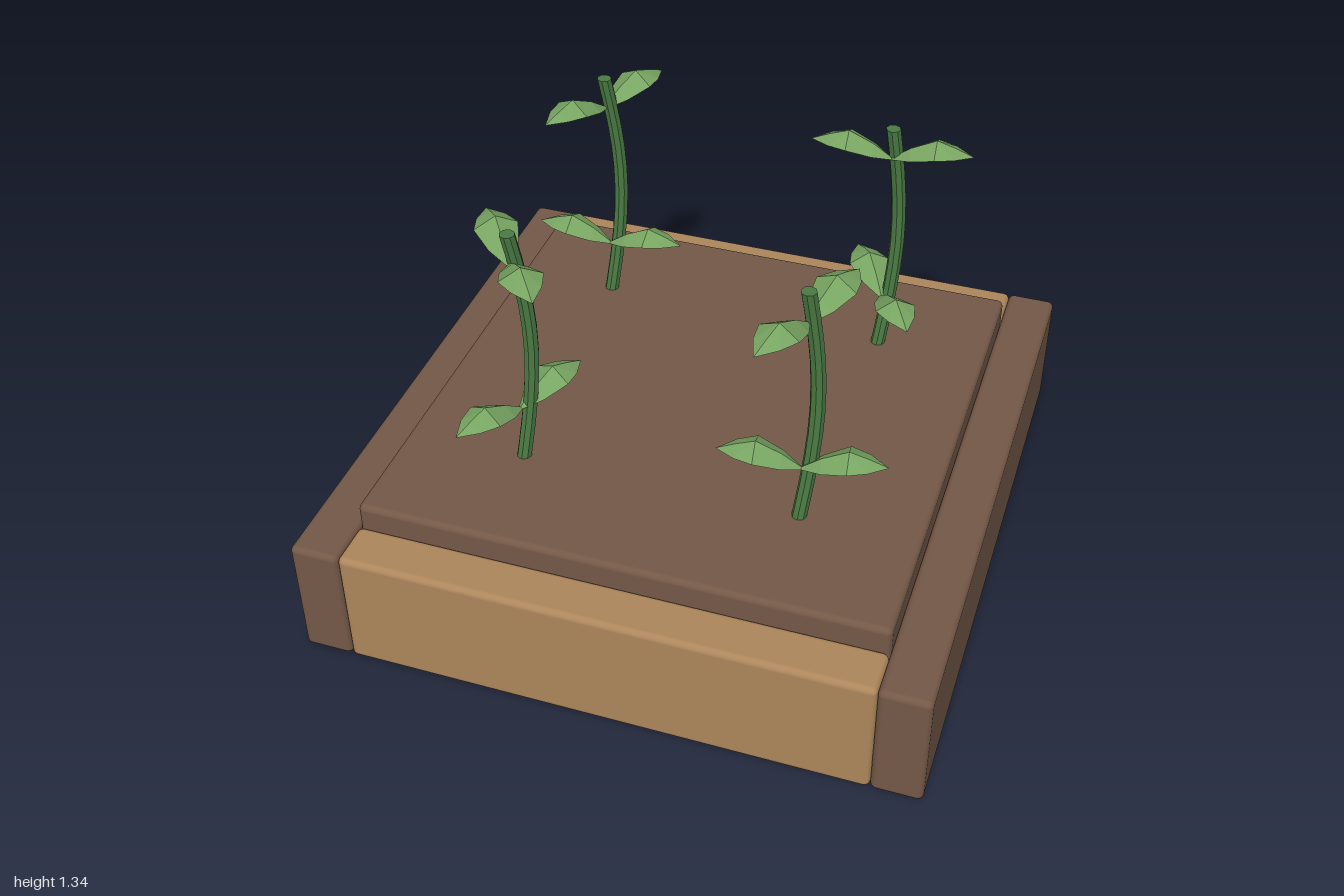
import * as THREE from 'three';
import { RoundedBoxGeometry } from 'three/addons/geometries/RoundedBoxGeometry.js';

const mat = (name, color, extra = {}) => new THREE.MeshStandardMaterial({ name, color, ...extra });

// Rounded block given its size and centre
function block(name, size, pos, material) {
  const mesh = new THREE.Mesh(new RoundedBoxGeometry(...size, 3, 0.02), material);
  mesh.name = name;
  mesh.position.set(...pos);
  return mesh;
}

// Capped stem that bows sideways in the middle
function stemGeometry() {
  const y0 = 0.45, y1 = 1.34;
  const geo = new THREE.CylinderGeometry(0.024, 0.024, y1 - y0, 8, 10);
  geo.translate(0, (y0 + y1) / 2, 0);
  const p = geo.attributes.position;
  for (let i = 0; i < p.count; i++) {
    const bow = Math.sin(Math.PI * (p.getY(i) - 0.5) / 0.84);
    p.setX(i, p.getX(i) + 0.03 * bow);
    p.setZ(i, p.getZ(i) - 0.045 * bow);
  }
  const flat = geo.toNonIndexed();
  flat.computeVertexNormals();
  return flat;
}

// Faceted leaf along +x, arched and folded down from its midrib
function leafGeometry() {
  // distance, half width, rib height, edge height
  const rows = [
    [0, 0.008, 0, -0.005],
    [0.06, 0.045, 0.042, 0.018],
    [0.14, 0.068, 0.08, 0.045],
    [0.2, 0.045, 0.06, 0.042],
    [0.26, 0, 0.035, 0.035],
  ];
  const v = [];
  for (let i = 0; i < rows.length - 1; i++) {
    for (const s of [1, -1]) {
      const [d0, w0, r0, e0] = rows[i], [d1, w1, r1, e1] = rows[i + 1];
      const a = [d0, r0, 0], b = [d0, e0, s * w0], c = [d1, e1, s * w1], d = [d1, r1, 0];
      const tris = w1 > 0 ? [[a, b, c], [a, c, d]] : [[a, b, d]];
      for (const t of tris) v.push(...(s > 0 ? t : [t[0], t[2], t[1]]).flat());
    }
  }
  const geo = new THREE.BufferGeometry();
  geo.setAttribute('position', new THREE.Float32BufferAttribute(v, 3));
  geo.computeVertexNormals();
  return geo;
}

export function createModel() {
  const root = new THREE.Group();
  root.name = 'planterBed';
  const darkWood = mat('dark brown', 0x745847);
  const lightWood = mat('light wood', 0xad865b);
  const stemGreen = mat('stem green', 0x4a7a43);
  const leafGreen = mat('leaf green', 0x78a562, { side: THREE.DoubleSide });

  // Frame boards and raised soil slab
  for (const s of [1, -1]) {
    root.add(block(s > 0 ? 'leftBoard' : 'rightBoard', [0.16, 0.42, 2], [s * 0.92, 0.21, 0], darkWood));
    root.add(block(s > 0 ? 'frontBoard' : 'backBoard', [1.68, 0.42, 0.16], [0, 0.21, s * 0.92], lightWood));
  }
  root.add(block('soil', [1.68, 0.16, 1.68], [0, 0.42, 0], darkWood));

  // Four seedlings: x, z, turn of the leaves in degrees
  const stemGeo = stemGeometry(), leafGeo = leafGeometry();
  const seedlings = [[-0.5, -0.48, 0], [0.475, -0.465, -58], [-0.445, 0.457, 65], [0.457, 0.455, 8]];
  for (const [x, z, turn] of seedlings) {
    const plant = new THREE.Group();
    plant.name = 'seedling';
    plant.position.set(x, 0, z);
    const stem = new THREE.Mesh(stemGeo, stemGreen);
    stem.name = 'stem';
    plant.add(stem);
    // Two opposite pairs of leaves, the upper pair twisted
    for (const [name, y, twist] of [['lowerLeaf', 0.695, 0], ['upperLeaf', 1.235, 63]]) {
      for (const half of [0, 180]) {
        const leaf = new THREE.Mesh(leafGeo, leafGreen);
        leaf.name = name;
        leaf.position.y = y;
        leaf.rotation.y = THREE.MathUtils.degToRad(turn + twist + half);
        plant.add(leaf);
      }
    }
    root.add(plant);
  }
  return root;
}
